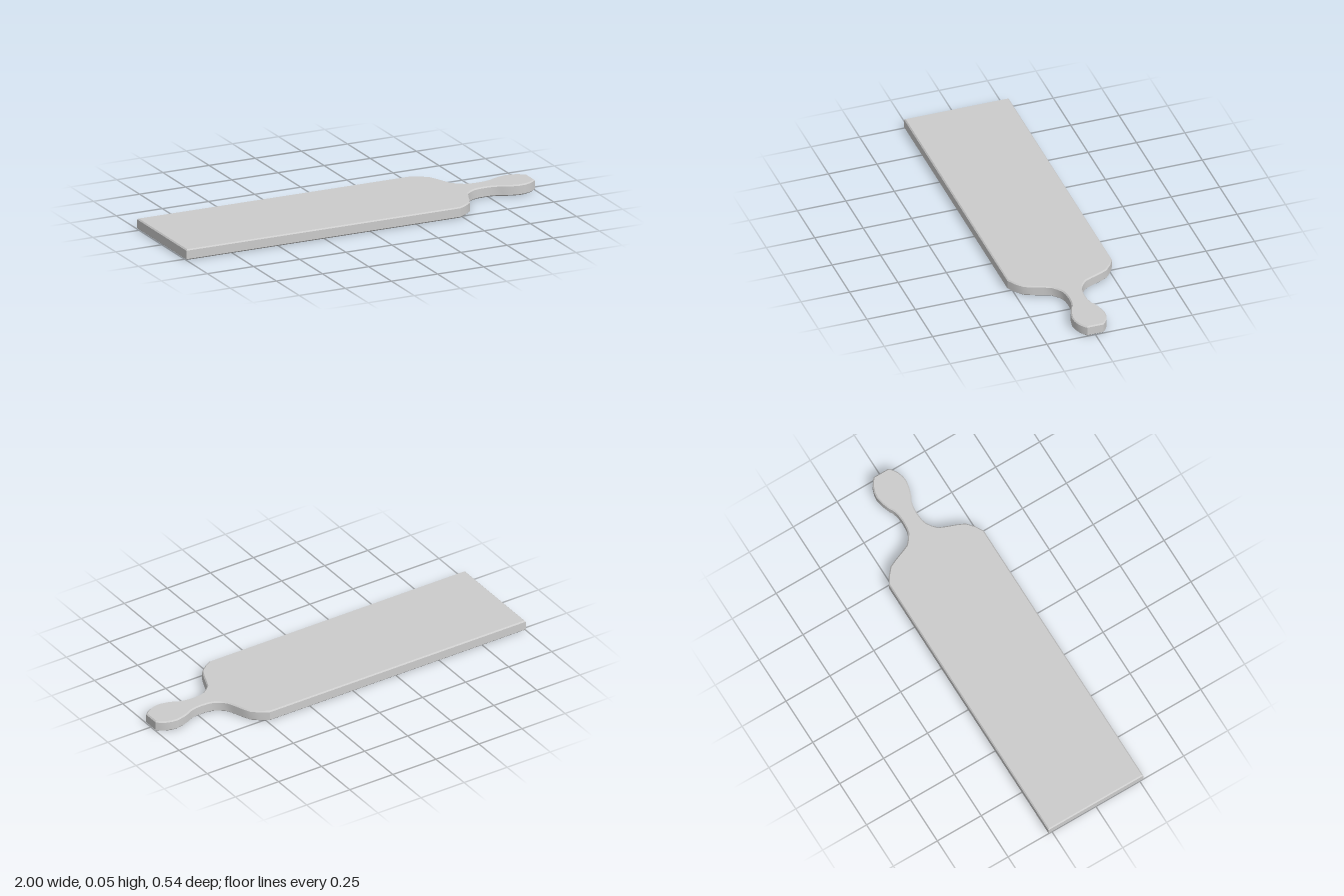
import * as THREE from 'three';
import { toCreasedNormals } from 'three/addons/utils/BufferGeometryUtils.js';

export function createModel() {
  const group = new THREE.Group();
  group.name = 'paddleBoard';

  // Half outline as (x, half width): square end, shoulder, neck, rounded grip
  const half = [
    [-1, 0.27], [0.485, 0.27], [0.525, 0.247], [0.563, 0.214], [0.583, 0.17],
    [0.6, 0.125], [0.615, 0.09], [0.64, 0.067], [0.665, 0.051], [0.69, 0.044],
    [0.73, 0.041], [0.765, 0.043], [0.8, 0.051], [0.82, 0.063], [0.86, 0.077],
    [0.9, 0.085], [0.93, 0.082], [0.96, 0.072], [0.985, 0.056], [1, 0.042],
  ];
  const mirrored = half.map(([x, w]) => new THREE.Vector2(x, w)).reverse();
  const outline = half.map(([x, w]) => new THREE.Vector2(x, -w)).concat(mirrored);

  // Slab with a small chamfer around the top and bottom edges
  const height = 0.055, chamfer = 0.006;
  const slab = new THREE.ExtrudeGeometry(new THREE.Shape(outline), {
    depth: height - 2 * chamfer,
    bevelThickness: chamfer,
    bevelSize: chamfer,
    bevelOffset: -chamfer,
    bevelSegments: 1,
  });
  slab.rotateX(-Math.PI / 2);
  slab.translate(0, chamfer, 0);

  const board = new THREE.Mesh(
    toCreasedNormals(slab, 0.5),
    new THREE.MeshStandardMaterial({ color: 0xcccccc })
  );
  board.name = 'boardWithHandle';
  group.add(board);
  return group;
}
